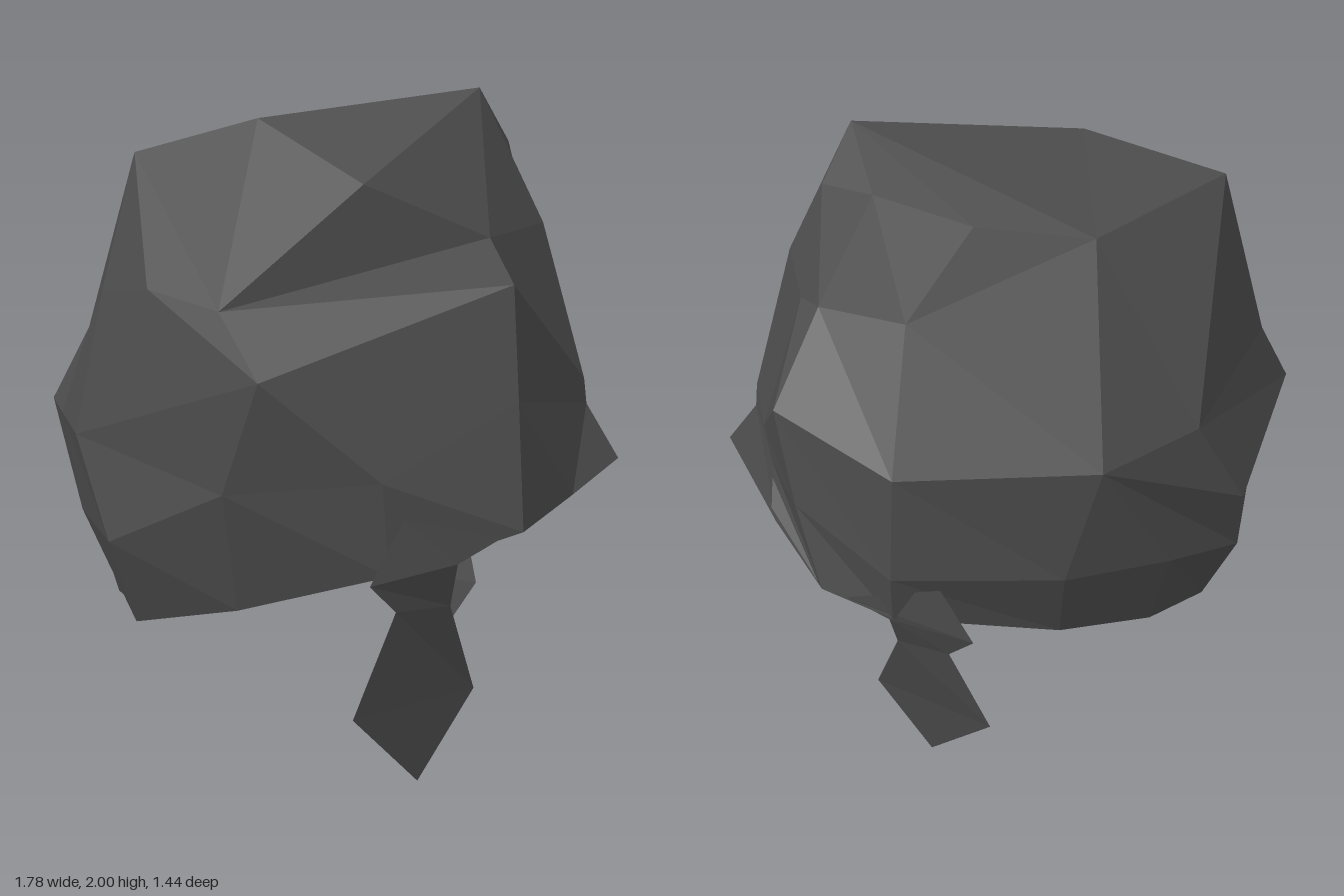
import * as THREE from 'three';

const hairColor = new THREE.MeshStandardMaterial({ color: 0x4a4a4a, flatShading: true, side: THREE.DoubleSide });
hairColor.name = 'charcoal hair';

// Joins neighbouring point columns into faceted triangles, skipping collapsed ones
function skin(columns, closed, name) {
  const out = [];
  const rows = Math.max(...columns.map((c) => c.length));
  const at = (c, r) => c[Math.min(r, c.length - 1)]; // short columns repeat their last point
  const same = (p, q) => p.every((v, i) => v === q[i]);
  const tri = (p, q, r) => {
    if (!same(p, q) && !same(q, r) && !same(p, r)) out.push(...p, ...q, ...r);
  };
  const last = closed ? columns.length : columns.length - 1;
  for (let c = 0; c < last; c++) {
    const a = columns[c], b = columns[(c + 1) % columns.length];
    for (let r = 0; r < rows - 1; r++) {
      tri(at(a, r), at(a, r + 1), at(b, r + 1));
      tri(at(a, r), at(b, r + 1), at(b, r));
    }
  }
  const g = new THREE.BufferGeometry();
  g.setAttribute('position', new THREE.Float32BufferAttribute(out, 3));
  g.computeVertexNormals();
  const mesh = new THREE.Mesh(g, hairColor);
  mesh.name = name;
  return mesh;
}

export function createModel() {
  const group = new THREE.Group();
  group.name = 'hair';

  // Ridge along the top
  const peak = [0.44, 2, 0], ridge = [-0.22, 1.91, 0.07], crownBack = [-0.62, 1.8, -0.03];
  // Corners of the folded fringe and of the parting above the brim
  const foldTip = [-0.27, 1.4, 0.54], foldTop = [0.48, 1.58, 0.24], foldLow = [-0.14, 1.23, 0.69];
  const partLow = [0.79, 1.04, 0], partHigh = [0.78, 1.12, 0];
  // Corners of the far slope
  const slope = [-0.22, 1.73, -0.24], backCorner = [-0.66, 0.94, -0.45];
  const backBulge = [-0.5, 1.23, -0.48], farCorner = [-0.2, 1.23, -0.66];

  // Columns run from the open brim up to the ridge, around the head from +x via +z
  const columns = [
    [[0.89, 0.88, 0.05], partLow, partHigh, [0.64, 1.6, 0], peak],
    [[0.74, 0.83, 0.3], partLow, partHigh, foldTop, peak],
    [[0.59, 0.8, 0.59], [0.57, 1.15, 0.5], [0.55, 1.47, 0.42], foldTop, peak],
    [[0.22, 0.68, 0.66], [0.2, 0.95, 0.67], foldLow, foldTip, [0.12, 1.74, 0.35], peak],
    [[-0.22, 0.54, 0.59], [-0.25, 0.9, 0.65], foldLow, foldTip, ridge],
    [[-0.55, 0.44, 0.44], [-0.61, 0.71, 0.51], [-0.73, 1, 0.38], [-0.5, 1.44, 0.4], crownBack],
    [[-0.65, 0.42, 0.16], [-0.76, 0.72, 0.22], [-0.82, 1.02, 0.19], [-0.68, 1.4, 0.2], crownBack],
    [[-0.71, 0.37, -0.02], [-0.8, 0.7, 0], [-0.89, 1.03, 0.03], [-0.78, 1.25, -0.02], crownBack],
    [[-0.6, 0.41, -0.3], [-0.68, 0.68, -0.37], backCorner, backBulge, crownBack],
    [[-0.4, 0.47, -0.46], [-0.43, 0.8, -0.56], farCorner, backBulge, crownBack],
    [[-0.1, 0.56, -0.58], [-0.1, 0.85, -0.67], farCorner, slope, slope, ridge],
    [[0.4, 0.73, -0.66], [0.4, 0.9, -0.68], [0.38, 1.23, -0.64], [0.32, 1.57, -0.38], [0.12, 1.78, -0.23], peak],
    [[0.6, 0.81, -0.6], [0.66, 1.05, -0.5], [0.7, 1.33, -0.42], [0.56, 1.55, -0.24], [0.39, 1.86, -0.17], peak],
    [[0.74, 0.82, -0.3], [0.74, 0.97, -0.2], [0.76, 1.06, -0.13], [0.61, 1.54, -0.17], [0.53, 1.84, -0.06], peak],
  ];
  group.add(skin(columns, true, 'hairShell'));

  // Pointed side lock, with a pinched neck above a twisted diamond
  const backEdge = [[0.26, 0.85, 0.68], [0.17, 0.67, 0.72], [0.24, 0.58, 0.67], [0.12, 0.25, 0.67], [0.3, 0, 0.52]];
  const frontEdge = [[0.53, 0.79, 0.62], [0.41, 0.72, 0.65], [0.39, 0.58, 0.6], [0.46, 0.28, 0.47], [0.3, 0, 0.52]];
  for (const [side, name] of [[1, 'leftSideLock'], [-1, 'rightSideLock']]) {
    const place = (edge) => edge.map(([x, y, z]) => [x, y, z * side]);
    const edges = [place(backEdge), place(frontEdge)];
    if (side < 0) edges.reverse();
    group.add(skin(edges, false, name));
  }

  // Thin stray lock over the brim
  group.add(skin([
    [[0.74, 0.95, -0.25], [0.6, 0.84, -0.62]],
    [[0.745, 0.9, -0.33], [0.61, 0.82, -0.58]],
  ], false, 'strayLock'));

  return group;
}
